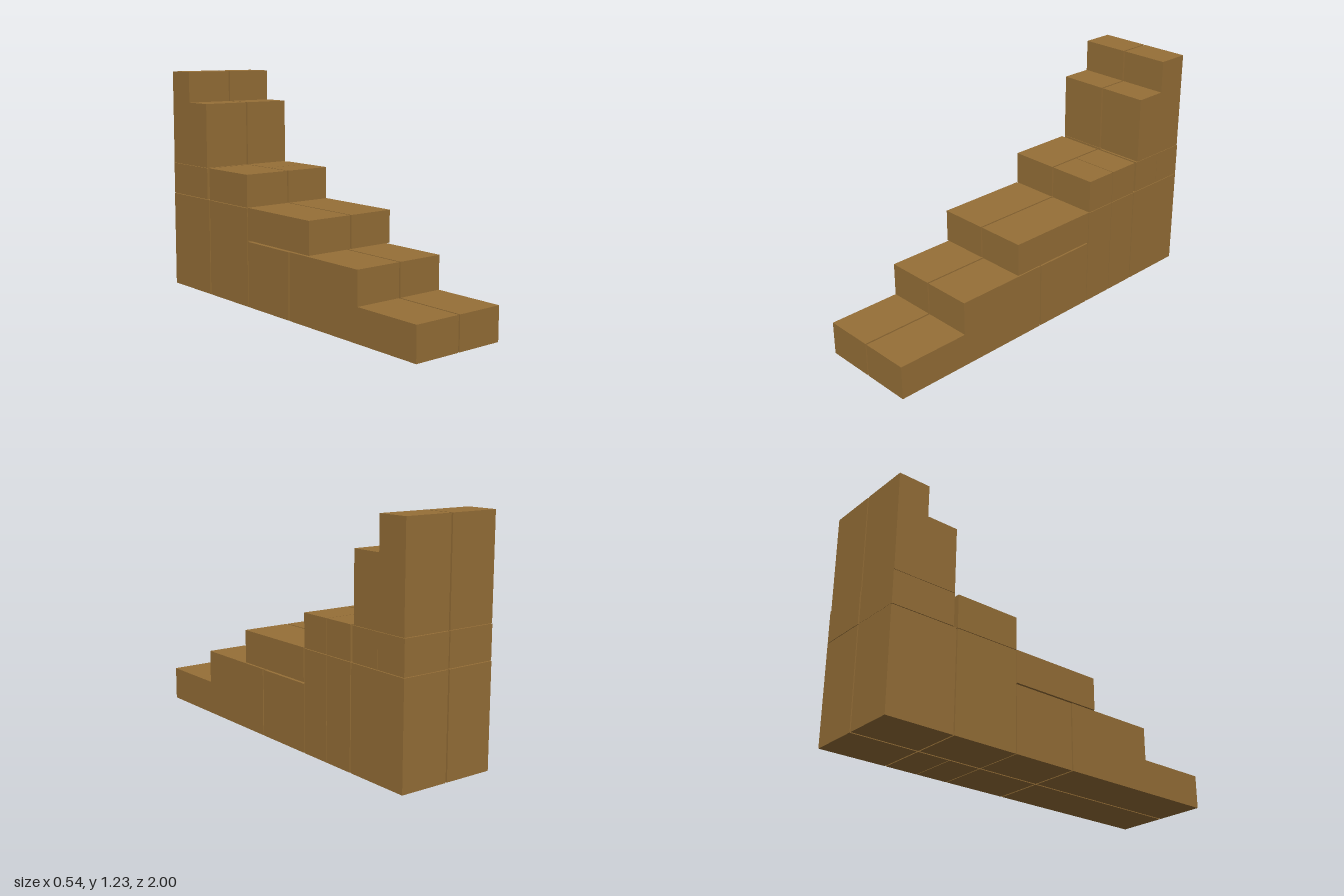
import * as THREE from 'three';

const material = new THREE.MeshStandardMaterial({ color: 0x966f37, flatShading: true });

// Side outline given as [z, y] points, extruded across the width from x0 to x1
function block(name, outline, x0, x1) {
  const shape = new THREE.Shape(outline.map(([z, y]) => new THREE.Vector2(-z, y)));
  const geometry = new THREE.ExtrudeGeometry(shape, { depth: x1 - x0, bevelEnabled: false });
  geometry.rotateY(Math.PI / 2);
  geometry.translate(x0, 0, 0);
  const mesh = new THREE.Mesh(geometry, material);
  mesh.name = name;
  return mesh;
}

const rect = (front, back, bottom, top) =>
  [[front, bottom], [back, bottom], [back, top], [front, top]];

export function createModel() {
  const model = new THREE.Group();
  model.name = 'steppedBlocks';

  // Blocks shared by both halves
  const shared = {
    lowerSteps: [[1, 0], [0.088, 0], [0.088, 0.355], [0.607, 0.355], [0.607, 0.178], [1, 0.178]],
    lowerSupport: rect(0.08, -0.27, 0, 0.353),
    thirdStep: rect(0.245, -0.27, 0.361, 0.535),
    rearBase: rect(-0.638, -1, 0, 0.531),
    upperSteps: [[-0.654, 0.709], [-0.996, 0.709], [-0.996, 1.23], [-0.825, 1.23],
      [-0.825, 1.06], [-0.654, 1.06]],
  };

  for (const side of [-1, 1]) {
    const half = new THREE.Group();
    half.name = side > 0 ? 'leftHalf' : 'rightHalf';
    const x0 = side > 0 ? 0.004 : -0.27;
    const x1 = side > 0 ? 0.267 : -0.005;
    for (const [name, outline] of Object.entries(shared)) half.add(block(name, outline, x0, x1));

    // Fourth step and rear tier: split in two on the left, one piece on the right
    const middle = side > 0
      ? [[-0.275, -0.451], [-0.455, -0.631]]
      : [[-0.275, -0.631]];
    for (const [front, back] of middle) {
      half.add(block('middleBase', rect(front, back, 0, 0.531), x0, x1));
      half.add(block('fourthStep', rect(front, back, 0.534, 0.709), x0, x1));
    }
    const tier = side > 0
      ? [[-0.646, -0.823], [-0.825, -1]]
      : [[-0.654, -0.998]];
    for (const [front, back] of tier) {
      half.add(block('rearTier', rect(front, back, 0.534, 0.707), x0, x1));
    }
    model.add(half);
  }
  return model;
}
